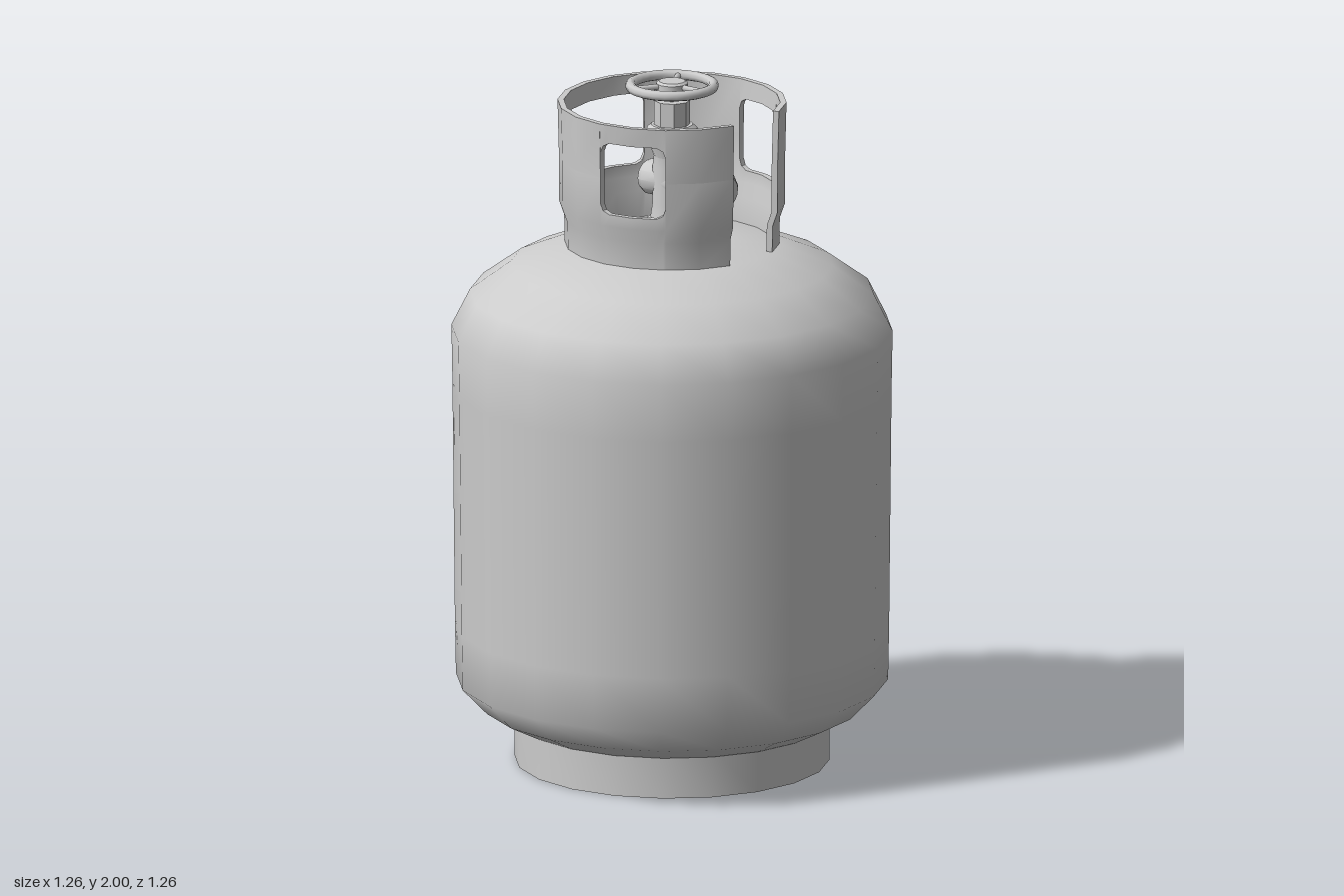
import * as THREE from 'three';
import { toCreasedNormals } from 'three/addons/utils/BufferGeometryUtils.js';

const mat = new THREE.MeshStandardMaterial({ color: 0xcccccc });
const SIDES = 20, STEP = 360 / SIDES;

function add(parent, name, geo) {
  const mesh = new THREE.Mesh(geo, mat);
  mesh.name = name;
  parent.add(mesh);
  return mesh;
}

function lathe(points, sides, crease = 0.6) {
  const geo = new THREE.LatheGeometry(points.map(([r, y]) => new THREE.Vector2(r, y)), sides);
  return crease ? toCreasedNormals(geo, crease) : geo;
}

// Collar windows as [start, end] in degrees from +x towards +z
const windows = [[54, 90], [144, 216], [270, 306]];
const SILL = 1.675, HEAD = 1.885, MID = 1.78;

// Stations around the collar: angle and half-opening blend (0 closed, 1 fully open)
function collarStations() {
  const list = [];
  const openAt = a => windows.some(([s, e]) => a > s && a < e);
  for (let a = STEP; a <= 360 - STEP; a += STEP) {
    const start = windows.some(w => w[0] === a), end = windows.some(w => w[1] === a);
    if (start) list.push([a, 0], [a, 0.72], [a + 1.5, 0.91], [a + 5, 1]);
    else if (end) list.push([a - 5, 1], [a - 1.5, 0.91], [a, 0.72], [a, 0]);
    else list.push([a, openAt(a) ? 1 : 0]);
  }
  return list;
}

// Sweep a thick band round the collar; rows(open) gives its [radius, y] points upwards
function collarBand(rows) {
  const pos = [], idx = [], stations = collarStations(), wall = 0.018;
  let n = 0;
  for (const [deg, open] of stations) {
    const outer = rows(open);
    const ring = [...outer, ...outer.map(([r, y]) => [r - wall, y]).reverse()];
    n = ring.length;
    // keep points on the flat facets of the 20-sided ring
    const rad = THREE.MathUtils.degToRad, half = STEP / 2;
    const flat = Math.cos(rad(half)) / Math.cos(rad((deg % STEP) - half));
    for (const [r, y] of ring) {
      pos.push(r * flat * Math.cos(rad(deg)), y, r * flat * Math.sin(rad(deg)));
    }
  }
  const last = (stations.length - 1) * n;
  for (let s = 0; s < stations.length - 1; s++) {
    for (let i = 0; i < n; i++) {
      const a = s * n + i, b = s * n + (i + 1) % n;
      idx.push(a, b, a + n, b, b + n, a + n);
    }
  }
  // end caps at the gap
  for (let i = 0; i < n / 2 - 1; i++) {
    const j = n - 1 - i;
    idx.push(i, j, i + 1, i + 1, j, j - 1);
    idx.push(last + i, last + i + 1, last + j, last + i + 1, last + j - 1, last + j);
  }
  const geo = new THREE.BufferGeometry();
  geo.setAttribute('position', new THREE.Float32BufferAttribute(pos, 3));
  geo.setIndex(idx);
  return toCreasedNormals(geo, 0.6);
}

export function createModel() {
  const model = new THREE.Group();
  model.name = 'gasCylinder';

  // Pressure vessel
  add(model, 'tankBody', lathe([
    [0.42, 0.11], [0.455, 0.12], [0.545, 0.165], [0.617, 0.24], [0.62, 0.4], [0.627, 1.1],
    [0.63, 1.27], [0.577, 1.375], [0.46, 1.46], [0.31, 1.522], [0.15, 1.53], [0, 1.53],
  ], SIDES, 0));
  const bottom = add(model, 'tankBottom', new THREE.CircleGeometry(0.45, SIDES));
  bottom.rotation.x = Math.PI / 2;
  bottom.position.y = 0.1;

  // Foot ring
  add(model, 'footRing', lathe([
    [0.415, 0.14], [0.415, 0], [0.45, 0], [0.45, 0.14],
  ], SIDES));

  // Protective collar, open towards the outlet; the two bands meet at the pillars
  const collar = new THREE.Group();
  collar.name = 'collar';
  model.add(collar);
  const lerp = THREE.MathUtils.lerp;
  add(collar, 'collarLower', collarBand(o => [
    [0.306, 1.51], [0.308, 1.6], [0.322, 1.64], [0.323, lerp(MID, SILL, o)]]));
  add(collar, 'collarUpper', collarBand(o => [
    [0.323, lerp(MID, HEAD, o)], [0.327, 1.94]]));

  // Valve body and stem
  const valve = new THREE.Group();
  valve.name = 'valve';
  model.add(valve);
  add(valve, 'valveBody', lathe([
    [0.085, 1.525], [0.085, 1.545], [0.075, 1.55], [0.075, 1.59], [0.062, 1.6], [0.056, 1.64],
    [0.056, 1.75], [0.052, 1.78], [0.07, 1.825], [0.073, 1.86], [0.06, 1.872], [0, 1.872],
  ], 16));
  add(valve, 'bonnetNut', toCreasedNormals(
    new THREE.CylinderGeometry(0.052, 0.052, 0.075, 8), 0.3)).position.y = 1.905;
  add(valve, 'stem', new THREE.CylinderGeometry(0.022, 0.022, 0.06, 12)).position.y = 1.96;

  // Side outlet with a hexagonal nut, and a plug opposite it
  const outlet = new THREE.Group();
  outlet.name = 'outlet';
  outlet.position.y = 1.705;
  outlet.rotation.z = -Math.PI / 2;
  valve.add(outlet);
  add(outlet, 'outletPipe', lathe([[0.056, 0], [0.052, 0.06], [0.045, 0.09], [0.045, 0.14]], 16));
  const nut = add(outlet, 'outletNut', toCreasedNormals(
    new THREE.CylinderGeometry(0.074, 0.074, 0.053, 6), 0.3));
  nut.position.y = 0.157;
  add(outlet, 'outletEnd', lathe([
    [0.046, 0.17], [0.046, 0.205], [0.04, 0.21], [0, 0.21]], 16));
  add(outlet, 'backPlug', lathe([[0, -0.09], [0.045, -0.09], [0.052, -0.075], [0.052, 0]], 12));

  // Handwheel
  const wheel = new THREE.Group();
  wheel.name = 'handwheel';
  wheel.position.y = 1.985;
  model.add(wheel);
  const rim = add(wheel, 'wheelRim', new THREE.TorusGeometry(0.119, 0.015, 8, 24));
  rim.rotation.x = Math.PI / 2;
  add(wheel, 'wheelHub', lathe([
    [0, -0.03], [0.03, -0.03], [0.046, -0.015], [0.046, 0.008], [0.038, 0.014], [0, 0.014]], 12));
  for (let i = 0; i < 3; i++) {
    const arm = new THREE.Group();
    arm.rotation.y = i * Math.PI * 2 / 3;
    wheel.add(arm);
    const spoke = add(arm, 'wheelSpoke', new THREE.CylinderGeometry(0.009, 0.009, 0.09, 8));
    spoke.rotation.z = Math.PI / 2;
    spoke.position.x = 0.075;
  }
  return model;
}
